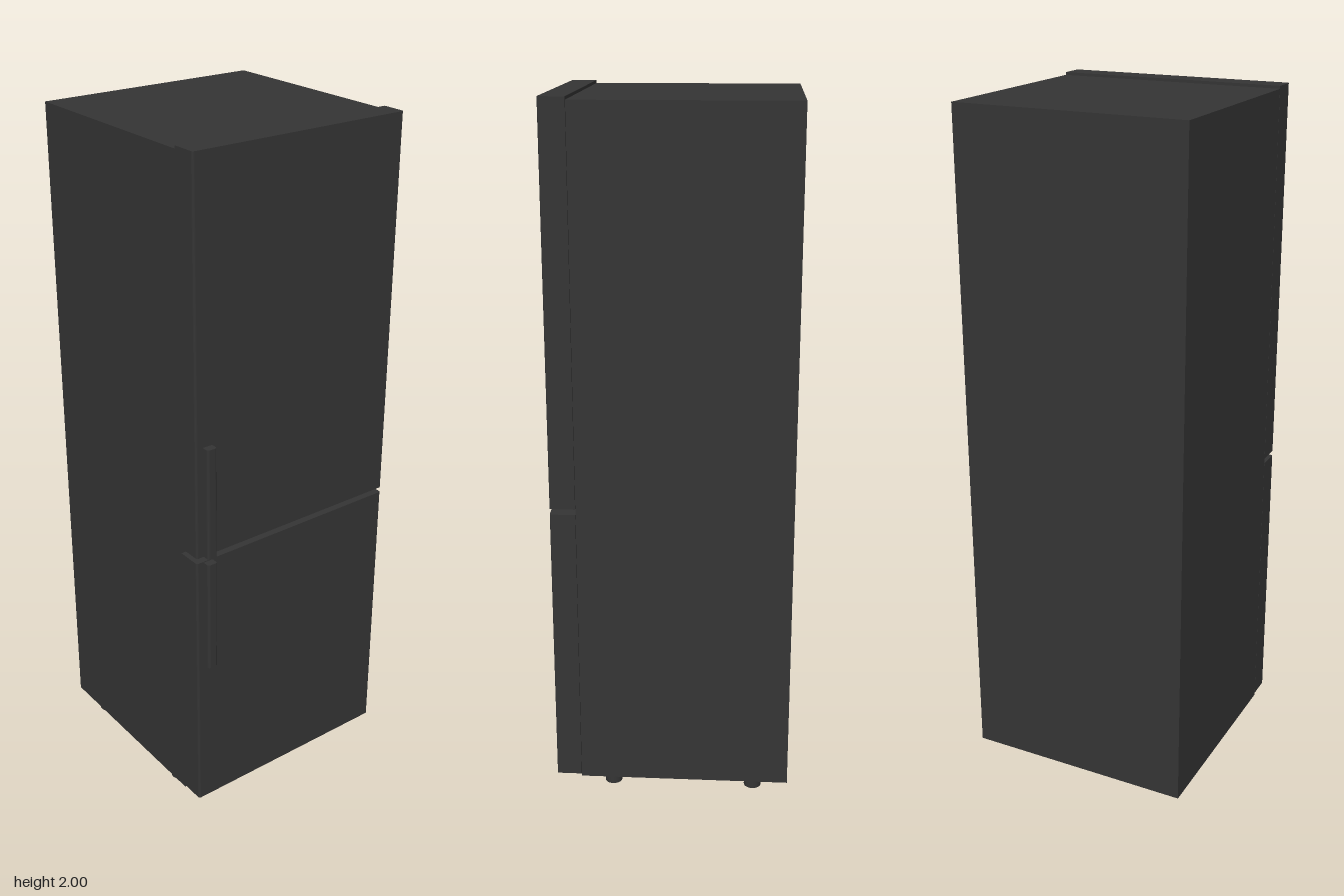
import * as THREE from 'three';

// Upright bar with its two front vertical edges rounded
function frontRounded(x0, x1, y0, y1, zBack, zFront, r) {
  const s = new THREE.Shape();
  s.moveTo(x0, -zBack);
  s.lineTo(x0, -zFront + r);
  s.quadraticCurveTo(x0, -zFront, x0 + r, -zFront);
  s.lineTo(x1 - r, -zFront);
  s.quadraticCurveTo(x1, -zFront, x1, -zFront + r);
  s.lineTo(x1, -zBack);
  s.closePath();
  const g = new THREE.ExtrudeGeometry(s, { depth: y1 - y0, bevelEnabled: false, curveSegments: 5 });
  g.rotateX(-Math.PI / 2);
  g.translate(0, y0, 0);
  return g;
}

export function createModel() {
  const model = new THREE.Group();
  const charcoal = new THREE.MeshStandardMaterial({ color: 0x353535 });
  charcoal.name = 'charcoal';

  const add = (name, geometry) => {
    const mesh = new THREE.Mesh(geometry, charcoal);
    mesh.name = name;
    model.add(mesh);
    return mesh;
  };

  // Cabinet
  const W = 0.337;
  add('cabinet', new THREE.BoxGeometry(2 * W, 1.958, 0.608)).position.set(0, 1.013, -0.048);

  // Doors, separated by a narrow open gap
  add('upperDoor', frontRounded(-W, W, 0.884, 2, 0.257, 0.329, 0.006));
  add('lowerDoor', frontRounded(-W, W, 0.041, 0.868, 0.257, 0.329, 0.006));

  // Bar handles on the opening side, meeting near the gap
  add('upperHandle', frontRounded(-0.314, -0.284, 0.884, 1.217, 0.327, 0.351, 0.007));
  add('lowerHandle', frontRounded(-0.314, -0.284, 0.522, 0.865, 0.327, 0.351, 0.007));

  // Four round feet
  for (const x of [-0.294, 0.294]) {
    for (const z of [0.165, -0.25]) {
      add('foot', new THREE.CylinderGeometry(0.025, 0.025, 0.036, 24)).position.set(x, 0.018, z);
    }
  }
  return model;
}
